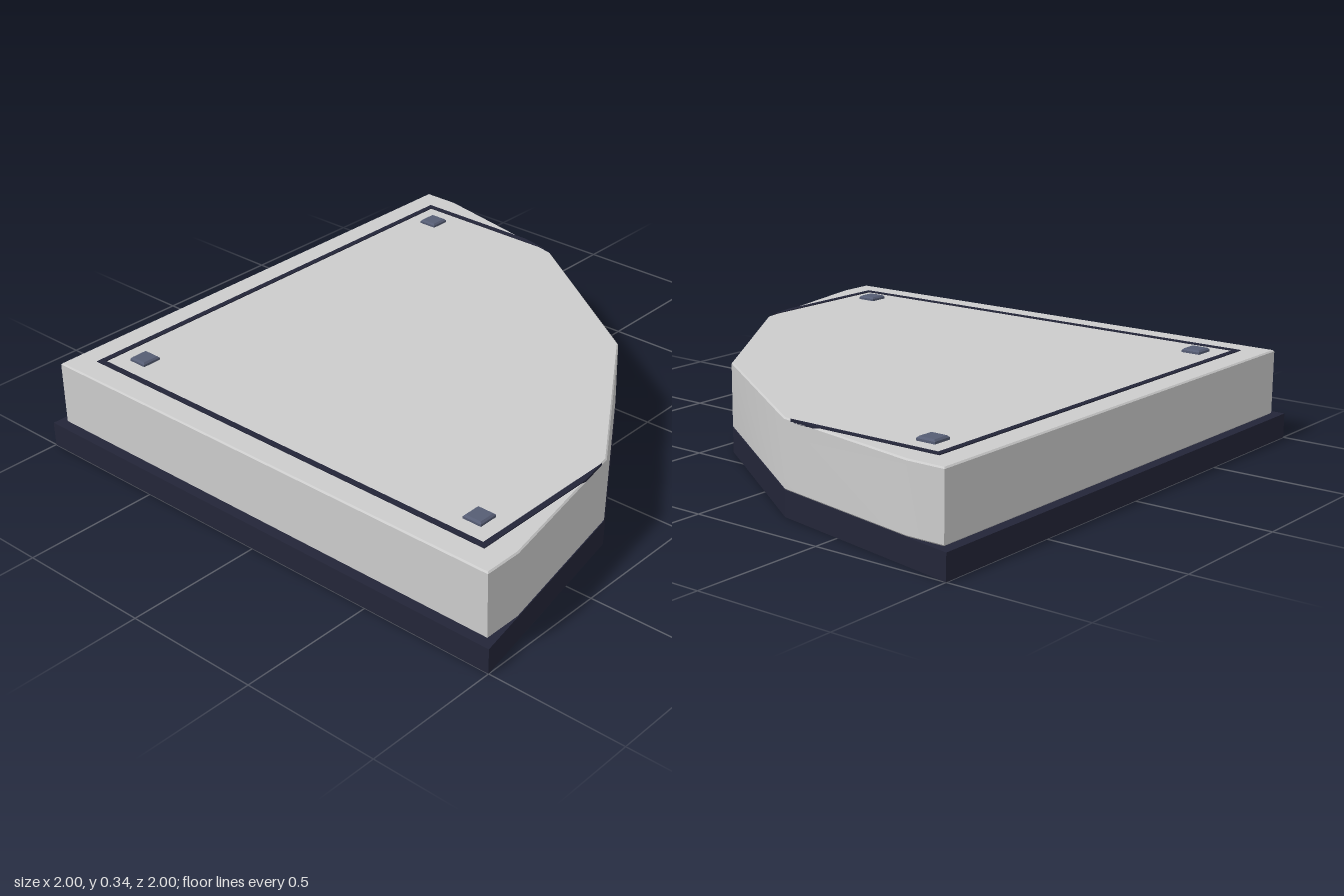
import * as THREE from 'three';
import { toCreasedNormals } from 'three/addons/utils/BufferGeometryUtils.js';

const grey = new THREE.MeshStandardMaterial({ color: 0xcccccc });
const dark = new THREE.MeshStandardMaterial({ color: 0x232538 });
const blue = new THREE.MeshStandardMaterial({ color: 0x565d74 });

const RADIUS = 2;
const STEP = Math.PI / 8;

// Where the first chord of the four-sided arc reaches x = a
const chordZ = (a) => 1 - (1 - a) * Math.sin(STEP) / (1 - Math.cos(STEP));

// Quarter sector cornered at (-1, 1), clipped to the square |x|, |z| <= a
function sector(a) {
  const pts = [[-a, a], [a, a]];
  if (a < 1) pts.push([a, chordZ(a)]);
  for (let i = 1; i < 4; i++) {
    pts.push([-1 + RADIUS * Math.cos(i * STEP), 1 - RADIUS * Math.sin(i * STEP)]);
  }
  if (a < 1) pts.push([-chordZ(a), -a]);
  pts.push([-a, -a]);
  return pts;
}

// Extrude an [x, z] outline upwards from y0 to y1
function prism(name, pts, y0, y1, material, bevel = 0) {
  const shape = new THREE.Shape(pts.map(([x, z]) => new THREE.Vector2(x, -z)));
  let geo = new THREE.ExtrudeGeometry(shape, {
    depth: y1 - y0 - 2 * bevel,
    bevelEnabled: bevel > 0,
    bevelThickness: bevel,
    bevelSize: bevel,
    bevelOffset: -bevel,
    bevelSegments: 1,
  });
  geo.rotateX(-Math.PI / 2).translate(0, y0 + bevel, 0);
  if (bevel) geo = toCreasedNormals(geo, 0.5);
  const mesh = new THREE.Mesh(geo, material);
  mesh.name = name;
  return mesh;
}

export function createModel() {
  const model = new THREE.Group();
  model.name = 'quarterRoundFloorTile';

  // Dark base and inset pale slab
  model.add(prism('base', sector(1), 0, 0.09, dark));
  model.add(prism('slab', sector(0.965), 0.09, 0.328, grey, 0.005));

  // Thin trim line following the straight sides, ending on the arc
  const o = 0.877, i = 0.855;
  const band = [
    [-chordZ(o), -o], [-o, -o], [-o, o], [o, o], [o, chordZ(o)],
    [i, chordZ(i)], [i, i], [-i, i], [-i, -i], [-chordZ(i), -i],
  ];
  model.add(prism('trimLine', band, 0.32, 0.331, dark));

  // Corner studs
  const h = 0.036;
  const square = [[-h, h], [h, h], [h, -h], [-h, -h]];
  for (const [x, z] of [[-0.76, -0.76], [-0.76, 0.76], [0.76, 0.76]]) {
    const stud = prism('cornerStud', square, 0.315, 0.342, blue, 0.006);
    stud.position.set(x, 0, z);
    model.add(stud);
  }
  return model;
}
